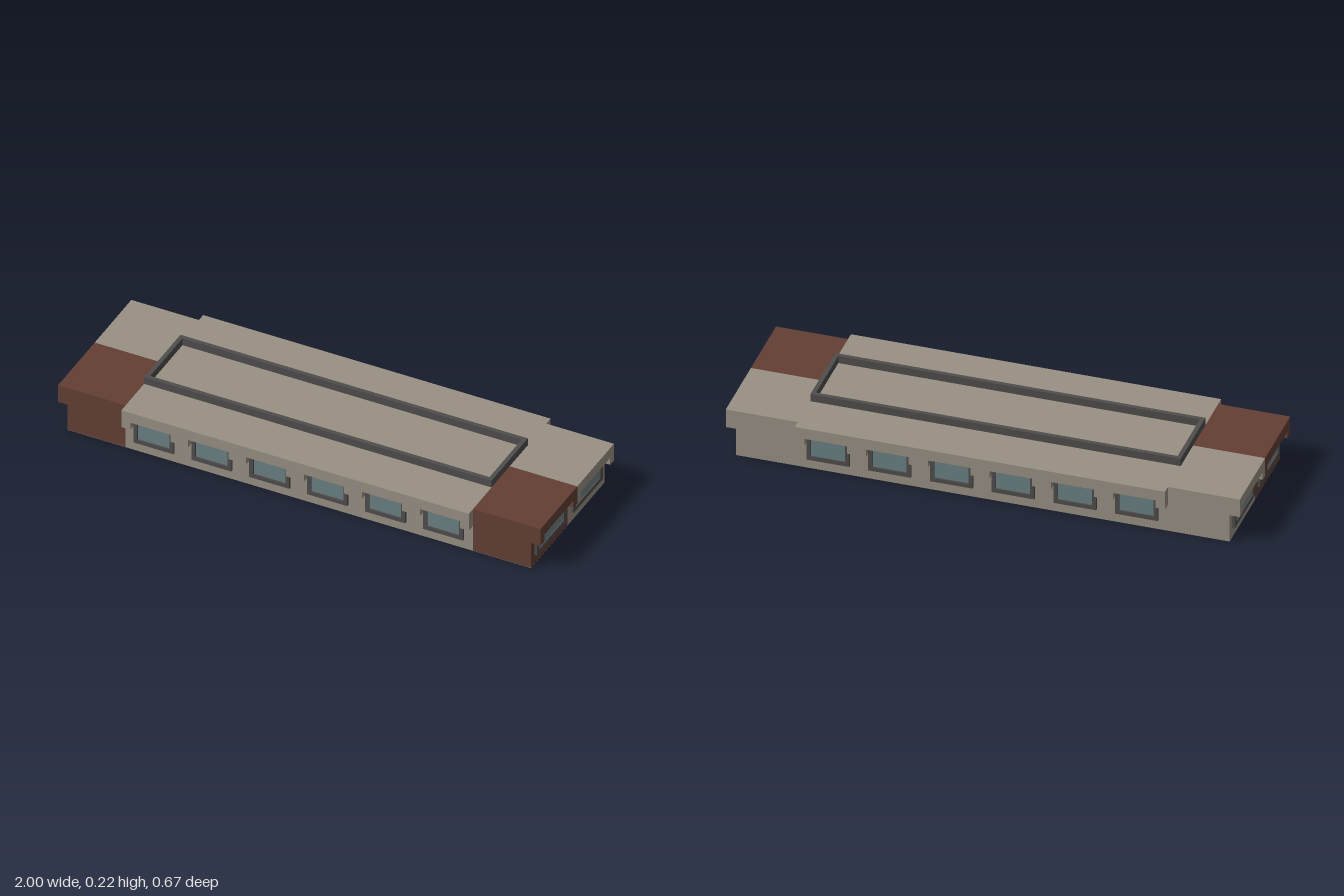
import * as THREE from 'three';

const mat = (color) => new THREE.MeshStandardMaterial({ color });
const stone = mat(0x999184), brick = mat(0x643f34), trim = mat(0x504d4d), glass = mat(0x6c8284);

const ROOF = 0.192, EAVE = 0.115, WIN_LOW = 0.041, WIN_TOP = 0.147;

function add(parent, name, geometry, material) {
  const mesh = new THREE.Mesh(geometry, material);
  mesh.name = name;
  parent.add(mesh);
  return mesh;
}

// Box given by its limits on each axis
function box(parent, name, material, [x0, x1], [y0, y1], [z0, z1]) {
  const mesh = add(parent, name, new THREE.BoxGeometry(x1 - x0, y1 - y0, z1 - z0), material);
  mesh.position.set((x0 + x1) / 2, (y0 + y1) / 2, (z0 + z1) / 2);
  return mesh;
}

const extrude = (shape, depth) => new THREE.ExtrudeGeometry(shape, { depth, bevelEnabled: false });

// Rectangular ring
function ring(x0, x1, y0, y1, tx, ty, depth) {
  const rect = (T, a, b, c, d) => {
    const p = new T();
    p.moveTo(a, c);
    p.lineTo(b, c);
    p.lineTo(b, d);
    p.lineTo(a, d);
    p.closePath();
    return p;
  };
  const shape = rect(THREE.Shape, x0, x1, y0, y1);
  shape.holes.push(rect(THREE.Path, x0 + tx, x1 - tx, y0 + ty, y1 - ty));
  return extrude(shape, depth);
}

// Overhanging eave, notched above each window
function eave(parent, material, x0, x1, centres, half, depth) {
  const s = new THREE.Shape();
  s.moveTo(x0, EAVE);
  for (const c of centres) {
    s.lineTo(c - half, EAVE);
    s.lineTo(c - half, WIN_TOP);
    s.lineTo(c + half, WIN_TOP);
    s.lineTo(c + half, EAVE);
  }
  s.lineTo(x1, EAVE);
  s.lineTo(x1, ROOF);
  s.lineTo(x0, ROOF);
  s.closePath();
  add(parent, 'eave', extrude(s, depth), material);
}

function windowUnit(parent, centre, half, t) {
  const unit = new THREE.Group();
  unit.name = 'window';
  unit.position.x = centre;
  add(unit, 'windowFrame', ring(-half, half, WIN_LOW, WIN_TOP, t, 0.017, 0.01), trim);
  box(unit, 'windowPane', glass, [t - half, half - t], [WIN_LOW + 0.017, WIN_TOP - 0.017], [0, 0.004]);
  parent.add(unit);
}

export function createModel() {
  const model = new THREE.Group();
  model.name = 'building';

  // Main walls, with brick front corners
  box(model, 'rearBody', stone, [-0.96, 0.96], [0, ROOF], [-0.3, 0]);
  box(model, 'frontBody', stone, [-0.72, 0.72], [0, ROOF], [0, 0.3]);
  for (const s of [-1, 1]) {
    const xs = s > 0 ? [0.72, 0.96] : [-0.96, -0.72];
    box(model, 'brickCorner', brick, xs, [0.001, ROOF], [0, 0.3]);
    box(model, 'cornerFloor', stone, xs, [0, 0.001], [0, 0.3]);
  }

  // Long sides: six windows under a notched eave
  const centres = [-0.6, -0.36, -0.12, 0.12, 0.36, 0.6];
  for (const s of [1, -1]) {
    const side = new THREE.Group();
    side.name = s > 0 ? 'frontSide' : 'backSide';
    eave(side, stone, -0.72, 0.72, centres, 0.083, 0.035);
    for (const c of centres) windowUnit(side, c, 0.083, 0.016);
    side.position.z = 0.3 * s;
    side.rotation.y = s > 0 ? 0 : Math.PI;
    model.add(side);
  }

  // Ends: one window in the brick half, one in the stone half
  for (const s of [1, -1]) {
    const end = new THREE.Group();
    end.name = s > 0 ? 'leftEnd' : 'rightEnd';
    eave(end, s > 0 ? brick : stone, -0.3, 0, [-0.15], 0.12, 0.04);
    eave(end, s > 0 ? stone : brick, 0, 0.3, [0.15], 0.12, 0.04);
    for (const c of [-0.15, 0.15]) windowUnit(end, c, 0.12, 0.02);
    end.position.x = 0.96 * s;
    end.rotation.y = (s * Math.PI) / 2;
    model.add(end);
  }

  // Raised kerb around the middle of the roof
  const kerb = add(model, 'roofKerb', ring(-0.72, 0.72, -0.149, 0.149, 0.017, 0.017, 0.031), trim);
  kerb.rotation.x = -Math.PI / 2;
  kerb.position.y = ROOF;

  return model;
}
